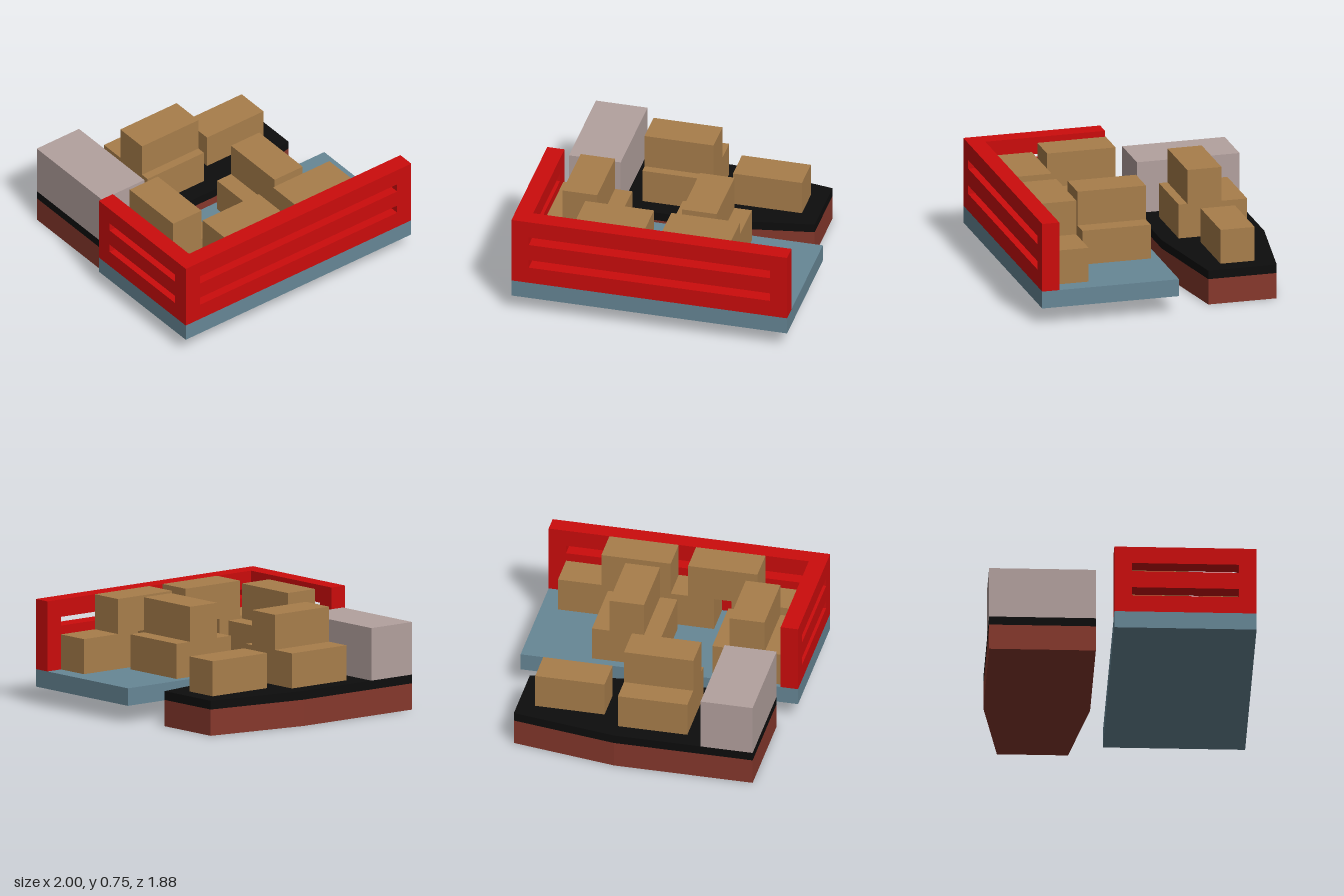
import * as THREE from 'three';

const mat = (name, color) => {
  const m = new THREE.MeshStandardMaterial({ color });
  m.name = name;
  return m;
};

export function createModel() {
  const red = mat('red fence', 0xcc0c0c);
  const blue = mat('blue grey dock', 0x678796);
  const tan = mat('tan crate', 0xa87e4b);
  const mauve = mat('mauve cabin', 0xb3a19e);
  const brown = mat('brown hull', 0x86382c);
  const black = mat('black deck', 0x0d0d0d);

  const model = new THREE.Group();
  model.name = 'dockAndBoat';

  const add = (parent, name, geometry, material) => {
    const mesh = new THREE.Mesh(geometry, material);
    mesh.name = name;
    parent.add(mesh);
    return mesh;
  };
  // Box given by its limits on each axis
  const box = (parent, name, material, [x0, x1], [y0, y1], [z0, z1]) =>
    add(parent, name, new THREE.BoxGeometry(x1 - x0, y1 - y0, z1 - z0), material)
      .position.set((x0 + x1) / 2, (y0 + y1) / 2, (z0 + z1) / 2);
  const group = (name) => {
    const g = new THREE.Group();
    g.name = name;
    model.add(g);
    return g;
  };

  // Dock slab
  const dock = group('dock');
  box(dock, 'dockSlab', blue, [-1, 1], [0.125, 0.25], [-0.0625, 0.9375]);

  // Fence wall with two long slots, drawn along its length
  const wall = (a, b) => {
    const rect = (path, x0, x1, y0, y1) =>
      path.moveTo(x0, y0).lineTo(x1, y0).lineTo(x1, y1).lineTo(x0, y1).closePath();
    const shape = new THREE.Shape();
    rect(shape, a, b, 0.25, 0.75);
    for (const y of [0.375, 0.5625]) {
      const slot = new THREE.Path();
      rect(slot, a + 0.125, b - 0.125, y, y + 0.0625);
      shape.holes.push(slot);
    }
    return new THREE.ExtrudeGeometry(shape, { depth: 0.125, bevelEnabled: false });
  };
  add(dock, 'frontFence', wall(-1, 1).translate(0, 0, 0.8125), red);
  add(dock, 'sideFence', wall(-0.0625, 0.9375).rotateY(-Math.PI / 2).translate(-0.875, 0, 0), red);

  // Boat: hull and deck share one tapered outline
  const boat = group('boat');
  const outline = new THREE.Shape([
    [-0.875, 0.1875], [0.125, 0.1875], [0.875, 0.3125],
    [0.875, 0.8125], [0.125, 0.9375], [-0.875, 0.9375],
  ].map(([x, y]) => new THREE.Vector2(x, y)));
  const layer = (name, y0, y1, material) =>
    add(boat, name, new THREE.ExtrudeGeometry(outline, { depth: y1 - y0, bevelEnabled: false })
      .rotateX(-Math.PI / 2).translate(0, y0, 0), material);
  layer('hull', 0, 0.1875, brown);
  layer('deck', 0.1875, 0.25, black);
  box(boat, 'cabin', mauve, [-0.875, -0.5], [0.25, 0.625], [-0.9375, -0.1875]);

  // Crates: all 0.5 x 0.25 x 0.25, placed by their low x and z corner and tier
  const crates = group('crates');
  const crate = (x, z, tier, turned = false) => {
    const y = 0.25 + tier * 0.25;
    const [w, d] = turned ? [0.25, 0.5] : [0.5, 0.25];
    box(crates, 'crate', tan, [x, x + w], [y, y + 0.25], [z, z + d]);
  };
  // Row along the front fence
  for (const x of [-0.875, -0.25, 0.375]) crate(x, 0.5625, 0);
  for (const x of [-0.5625, 0.0625]) crate(x, 0.5625, 1);
  // Two stacks of three on the dock
  for (const [x, z] of [[-0.875, -0.03125], [0, 0]]) {
    crate(x, z, 0, true);
    crate(x + 0.25, z, 0, true);
    crate(x + 0.125, z, 1, true);
  }
  // Crates on the boat
  crate(-0.375, -0.8125, 0);
  crate(-0.375, -0.5625, 0);
  crate(-0.375, -0.625, 1);
  crate(0.25, -0.6875, 0);

  return model;
}
